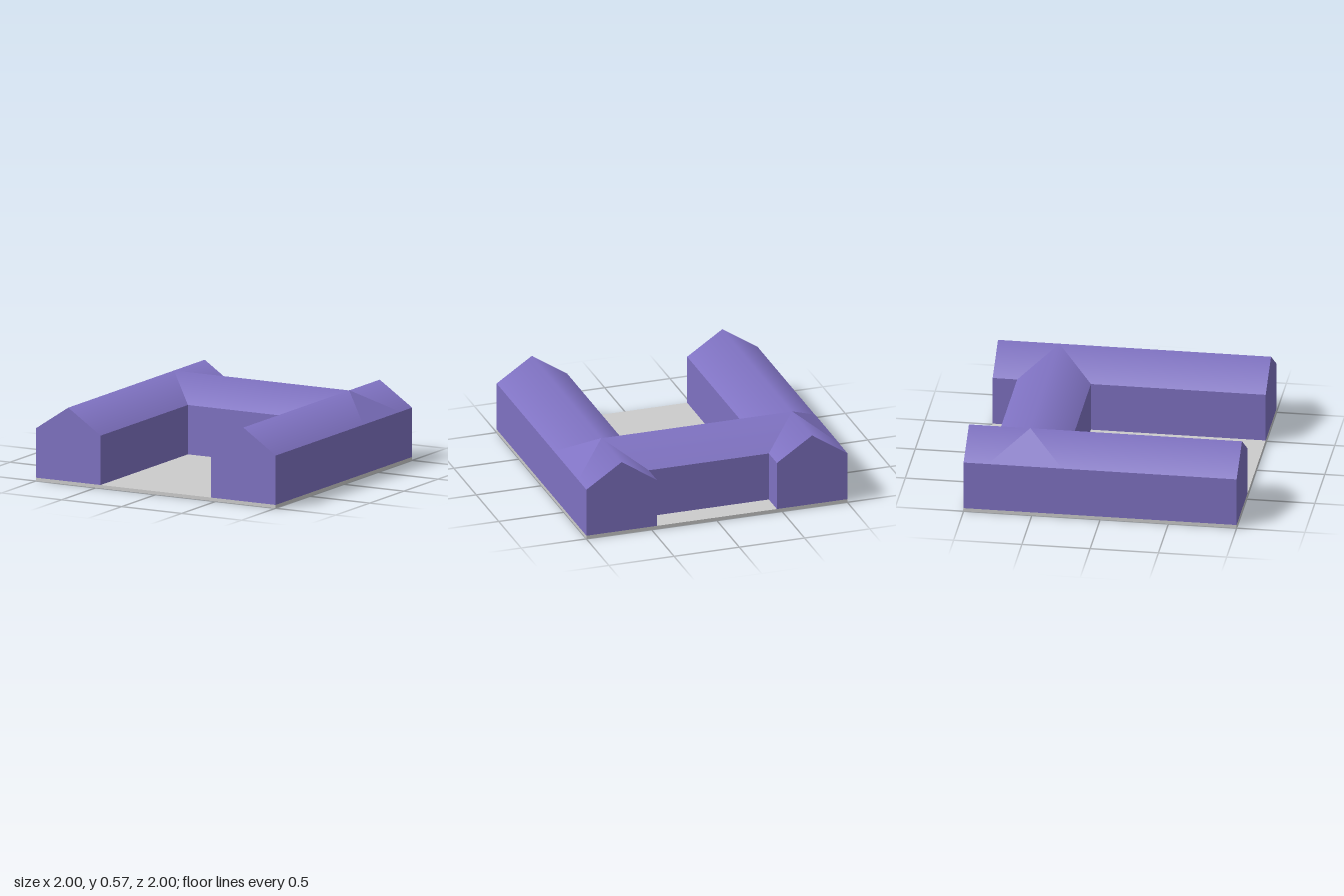
import * as THREE from 'three';

const BASE = 0.025, EAVE = 0.39, RIDGE = 0.57, HALF = 0.27;
const WING_X = 0.73, CROSS_Z = -0.55;

// Gabled block running along z, centred on the origin
function gabledBlock(length) {
  const profile = new THREE.Shape([
    [-HALF, BASE], [HALF, BASE], [HALF, EAVE], [0, RIDGE], [-HALF, EAVE],
  ].map(([x, y]) => new THREE.Vector2(x, y)));
  const geo = new THREE.ExtrudeGeometry(profile, { depth: length, bevelEnabled: false });
  return geo.translate(0, 0, -length / 2);
}

// Shade the two roof slopes softly across the ridge
function softenRidge(geo) {
  const p = geo.attributes.position, n = geo.attributes.normal;
  for (let i = 0; i < p.count; i++) {
    if (p.getY(i) > RIDGE - 0.001 && n.getY(i) > 0.3) n.setXYZ(i, 0, 1, 0);
  }
  return geo;
}

export function createModel() {
  const model = new THREE.Group();
  const purple = new THREE.MeshStandardMaterial({ color: 0x7f72c2 });
  purple.name = 'purple building';
  const grey = new THREE.MeshStandardMaterial({ color: 0xcccccc });
  grey.name = 'grey ground';

  const add = (name, geo, material) => {
    const mesh = new THREE.Mesh(geo, material);
    mesh.name = name;
    model.add(mesh);
    return mesh;
  };

  // Ground slab
  add('groundSlab', new THREE.BoxGeometry(2, BASE, 2).translate(0, BASE / 2, 0), grey);

  // Two long side wings
  for (const [name, s] of [['leftWing', 1], ['rightWing', -1]]) {
    add(name, softenRidge(gabledBlock(2)), purple).position.x = s * WING_X;

    // Flat triangular end of the cross roof, lying on the outer slope
    const a = [s * WING_X, RIDGE, CROSS_Z];
    const b = [s, EAVE, CROSS_Z + HALF], c = [s, EAVE, CROSS_Z - HALF];
    const tri = new THREE.BufferGeometry();
    const corners = s > 0 ? [a, b, c] : [a, c, b];
    tri.setAttribute('position', new THREE.Float32BufferAttribute(corners.flat(), 3));
    tri.computeVertexNormals();
    tri.translate(s * 0.001, 0.0015, 0);
    add(name + 'RoofEnd', tri, purple);
  }

  // Cross wing, its ends mitred to meet the side roofs along the valleys
  const cross = gabledBlock(2 * WING_X);
  const p = cross.attributes.position;
  for (let i = 0; i < p.count; i++) {
    p.setZ(i, Math.sign(p.getZ(i)) * (WING_X - Math.abs(p.getX(i))));
  }
  cross.computeVertexNormals();
  cross.rotateY(Math.PI / 2);
  add('crossWing', softenRidge(cross), purple).position.z = CROSS_Z;

  return model;
}
